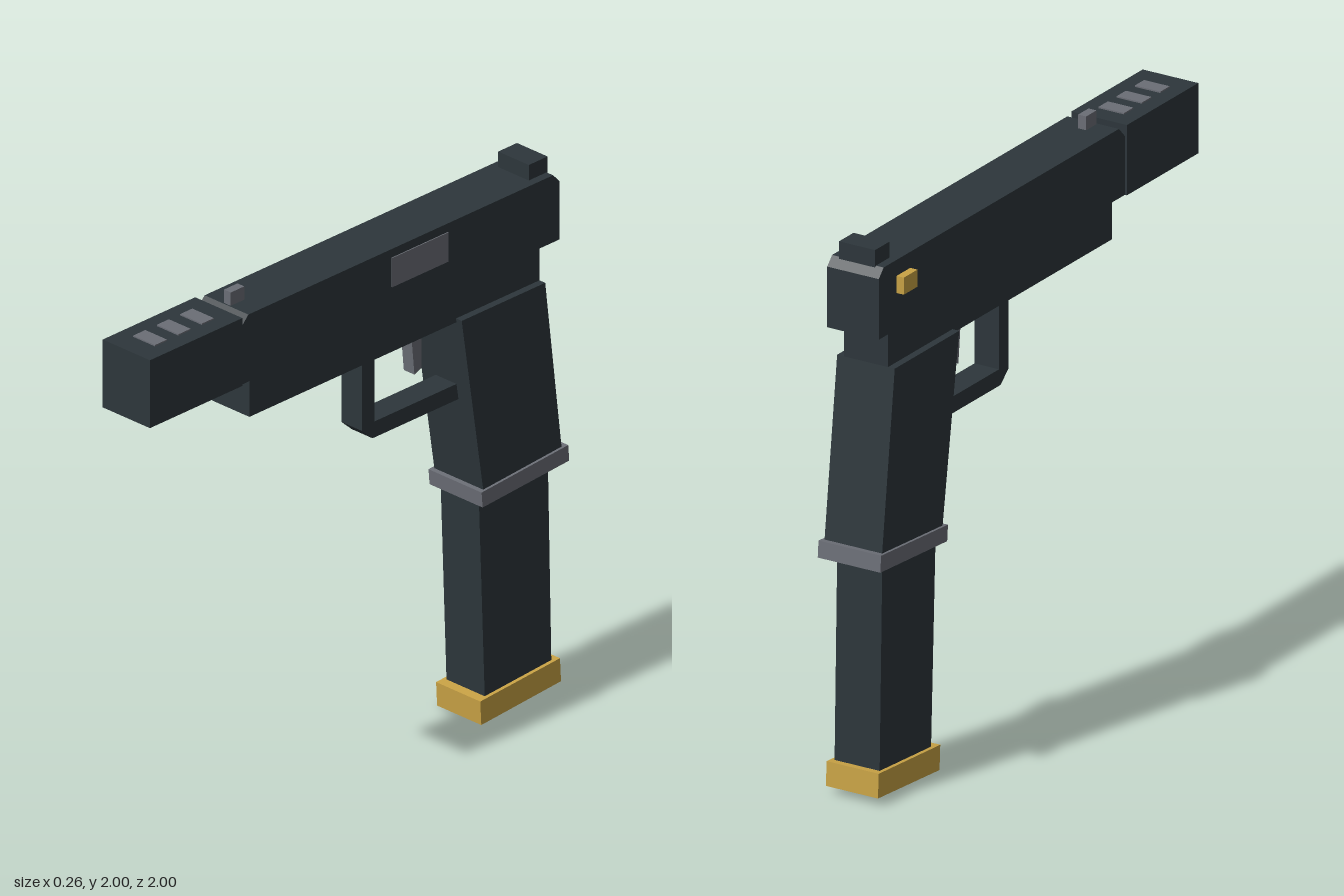
import * as THREE from 'three';

const mat = (name, color) => {
  const m = new THREE.MeshStandardMaterial({ color });
  m.name = name;
  return m;
};

export function createModel() {
  const dark = mat('dark gunmetal', 0x2d363b);
  const grey = mat('grey metal', 0x6b6e76);
  const gold = mat('gold', 0xc9a345);
  const group = new THREE.Group();

  const add = (name, geometry, material) => {
    const mesh = new THREE.Mesh(geometry, material);
    mesh.name = name;
    group.add(mesh);
    return mesh;
  };

  // Side outline of [z, y] points, extruded across x about a centre
  const profile = (name, points, width, material, cx = 0.002) => {
    const shape = new THREE.Shape(points.map(([z, y]) => new THREE.Vector2(z, y)));
    const g = new THREE.ExtrudeGeometry(shape, { depth: width, bevelEnabled: false });
    g.translate(0, 0, -width / 2).rotateY(-Math.PI / 2).translate(cx, 0, 0);
    return add(name, g, material);
  };

  // Box given by its limits on each axis
  const block = (name, [x0, x1], [y0, y1], [z0, z1], material) => {
    const g = new THREE.BoxGeometry(x1 - x0, y1 - y0, z1 - z0);
    g.translate((x0 + x1) / 2, (y0 + y1) / 2, (z0 + z1) / 2);
    return add(name, g, material);
  };

  // Upper body
  profile('slide', [
    [0.56, 1.69], [0.56, 1.9], [0.52, 1.942], [-0.94, 1.942], [-0.97, 1.91], [-0.97, 1.69],
  ], 0.206, dark);
  block('muzzleBlock', [-0.109, 0.113], [1.69, 1.945], [0.557, 1], dark);
  block('frame', [-0.086, 0.09], [1.545, 1.69], [-0.89, 0.5], dark);

  // Vents along the top of the muzzle block
  for (const z of [0.66, 0.772, 0.885]) {
    block('vent', [-0.05, 0.052], [1.943, 1.95], [z - 0.029, z + 0.029], grey);
  }

  // Sights
  block('frontSight', [-0.015, 0.017], [1.93, 1.992], [0.45, 0.515], grey);
  block('rearSight', [-0.07, 0.074], [1.93, 2], [-0.945, -0.855], dark);

  // Side details
  block('sidePlate', [0.102, 0.109], [1.8, 1.91], [-0.435, -0.165], grey);
  block('sideButton', [-0.13, -0.09], [1.822, 1.884], [-0.86, -0.775], gold);

  // Trigger and its guard
  profile('triggerGuard', [
    [-0.08, 1.55], [-0.08, 1.27], [-0.13, 1.225], [-0.58, 1.225],
    [-0.58, 1.285], [-0.14, 1.285], [-0.14, 1.55],
  ], 0.098, dark);
  profile('trigger', [[-0.338, 1.55], [-0.355, 1.375], [-0.39, 1.39], [-0.39, 1.55]], 0.05, grey);

  // Slanted grip, collar, magazine and base
  profile('grip', [[-0.49, 1.56], [-0.89, 1.56], [-0.97, 0.9], [-0.595, 0.875]], 0.23, dark);
  profile('collar', [[-0.575, 0.888], [-0.99, 0.918], [-0.995, 0.858], [-0.58, 0.83]], 0.25, grey);
  profile('magazine', [[-0.597, 0.86], [-0.928, 0.88], [-0.945, 0.1], [-0.626, 0.08]], 0.18, dark);
  profile('magazineBase', [[-0.59, 0.09], [-0.972, 0.116], [-0.977, 0.028], [-0.595, 0]], 0.208, gold);

  // Keep every outline facing outward from both sides
  return group;
}
